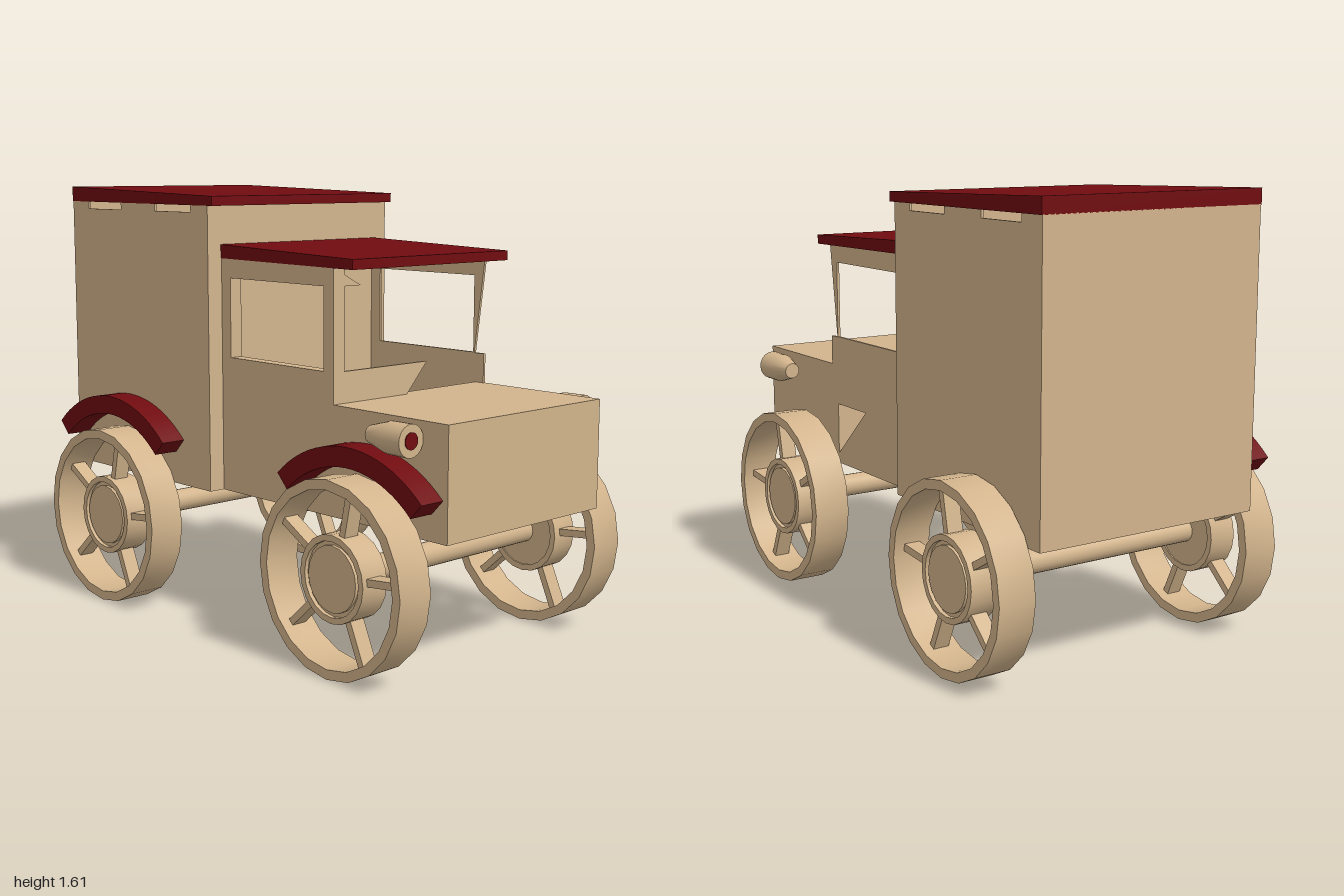
import * as THREE from 'three';
import { toCreasedNormals } from 'three/addons/utils/BufferGeometryUtils.js';

export function createModel() {
  const model = new THREE.Group();
  const tan = new THREE.MeshStandardMaterial({ color: 0xd2b48c });
  tan.name = 'tan';
  const red = new THREE.MeshStandardMaterial({ color: 0x700c10 });
  red.name = 'darkRed';

  function add(name, geo, mat, parent = model) {
    const m = new THREE.Mesh(geo, mat);
    m.name = name;
    parent.add(m);
    return m;
  }
  const polygon = pts => new THREE.Shape(pts.map(p => new THREE.Vector2(...p)));
  const rect = (a, b, c, d) => polygon([[a, c], [b, c], [b, d], [a, d]]);

  // Extrudes a (z, y) outline across the car, from x1 down to x0
  function sideSlab(shape, x0, x1) {
    const geo = new THREE.ExtrudeGeometry(shape, { depth: x1 - x0, bevelEnabled: false, curveSegments: 10 });
    geo.rotateY(-Math.PI / 2).translate(x1, 0, 0);
    return toCreasedNormals(geo, 0.6);
  }
  function box(name, x0, x1, y0, y1, z0, z1, mat = tan) {
    const geo = new THREE.BoxGeometry(x1 - x0, y1 - y0, z1 - z0);
    return add(name, geo.translate((x0 + x1) / 2, (y0 + y1) / 2, (z0 + z1) / 2), mat);
  }
  // Sheet facing the front, from an (x, y) outline
  function frontSheet(name, pts, z) {
    const geo = new THREE.ExtrudeGeometry(polygon(pts), { depth: 0.01, bevelEnabled: false });
    add(name, geo.translate(0, 0, z - 0.01), tan);
  }

  const W = 0.387;

  // Hood
  box('hood', -W, W, 0.5, 0.89, 0.43, 1.0);

  // Cab walls with window openings; the left one also has a gap under the door panel
  const cabOutline = [[-0.13, 0.5], [0.47, 0.5], [0.47, 1.36], [-0.13, 1.36]];
  const rightWall = polygon(cabOutline);
  rightWall.holes.push(rect(-0.08, 0.42, 1.0, 1.29));
  add('cabRightWall', sideSlab(rightWall, -W, -W + 0.05), tan);

  const leftWall = polygon([[-0.13, 0.5], [0.47, 0.5], [0.47, 1.0], [0.423, 1.0], [0.47, 1.36], [-0.13, 1.36]]);
  leftWall.holes.push(rect(-0.08, 0.418, 1.002, 1.29));
  leftWall.holes.push(polygon([[0.425, 0.735], [0.21, 0.735], [0.425, 0.54]]));
  add('cabLeftWall', sideSlab(leftWall, W - 0.01, W), tan);

  // Cab floor and the remaining windscreen pieces
  box('cabFloor', -W, W, 0.5, 0.51, -0.13, 0.43);
  frontSheet('dashPanel', [[-W, 0.5], [0.07, 1.0], [-W, 1.0]], 0.47);
  frontSheet('windscreenCorner', [[-W, 1.29], [-0.26, 1.29], [-W, 1.355]], 0.47);

  // Cargo body: hollow, with two vent notches along the top of each side
  const H = 1.555, N = 1.525;
  const cargoSide = polygon([
    [-1, 0.5], [-0.13, 0.5], [-0.13, H], [-0.23, H], [-0.23, N], [-0.45, N], [-0.45, H],
    [-0.67, H], [-0.67, N], [-0.89, N], [-0.89, H], [-1, H],
  ]);
  add('cargoLeftWall', sideSlab(cargoSide, 0.44, 0.45), tan);
  add('cargoRightWall', sideSlab(cargoSide, -0.45, -0.44), tan);
  box('cargoFrontWall', -0.45, 0.45, 0.5, H, -0.14, -0.13);
  box('cargoBackWall', -0.45, 0.45, 0.5, H, -1, -0.99);
  box('cargoFloor', -0.45, 0.45, 0.5, 0.51, -1, -0.13);

  // Roofs, rising gently toward the back
  add('cargoRoof', sideSlab(polygon([[-1, 1.553], [-0.1, 1.55], [-0.1, 1.585], [-1, 1.61]]), -0.453, 0.453), red);
  add('cabRoof', sideSlab(polygon([[-0.13, 1.36], [0.565, 1.352], [0.565, 1.387], [-0.13, 1.41]]), -0.39, 0.39), red);

  // Headlights
  const lampProfile = [[0, 0], [0.03, 0], [0.055, 0.09], [0.056, 0.18], [0, 0.18]].map(p => new THREE.Vector2(...p));
  for (const s of [-1, 1]) {
    const lamp = new THREE.Group();
    lamp.name = s > 0 ? 'leftHeadlight' : 'rightHeadlight';
    lamp.position.set(s * 0.442, 0.83, 0.71);
    add('lampShell', toCreasedNormals(new THREE.LatheGeometry(lampProfile, 20).rotateX(Math.PI / 2), 0.6), tan, lamp);
    add('lampLens', new THREE.CylinderGeometry(0.029, 0.029, 0.004, 20).rotateX(Math.PI / 2).translate(0, 0, 0.181), red, lamp);
    model.add(lamp);
  }

  // Wheels: rim, hub with a recessed cap, five spokes
  function ring(rOut, rIn) {
    const s = new THREE.Shape();
    s.absarc(0, 0, rOut, 0, Math.PI * 2, false);
    const hole = new THREE.Path();
    hole.absarc(0, 0, rIn, 0, Math.PI * 2, true);
    s.holes.push(hole);
    return s;
  }
  function wheel(name, side, xIn, z) {
    const g = new THREE.Group();
    g.name = name;
    add('rim', sideSlab(ring(0.34, 0.305), 0, 0.14), tan, g);
    add('hubRing', sideSlab(ring(0.152, 0.13), 0.01, 0.12), tan, g);
    add('hubDrum', new THREE.CylinderGeometry(0.131, 0.131, 0.09, 20).rotateZ(Math.PI / 2).translate(0.06, 0, 0), tan, g);
    add('hubCap', new THREE.CylinderGeometry(0.115, 0.115, 0.02, 20).rotateZ(Math.PI / 2).translate(0.107, 0, 0), tan, g);
    for (let i = 0; i < 5; i++) {
      const spoke = add('spoke', new THREE.BoxGeometry(0.06, 0.17, 0.026).translate(0, 0.228, 0), tan, g);
      spoke.position.x = 0.07;
      spoke.rotation.x = THREE.MathUtils.degToRad(12 + 72 * i);
    }
    g.position.set(side * xIn, 0.342, z);
    g.scale.x = side;
    model.add(g);
  }
  const axles = [['front', 0.425, 0.628], ['rear', 0.453, -0.645]];
  for (const [end, xIn, z] of axles) {
    wheel(end + 'LeftWheel', 1, xIn, z);
    wheel(end + 'RightWheel', -1, xIn, z);
    add(end + 'Axle', new THREE.CylinderGeometry(0.044, 0.044, 2 * xIn + 0.06, 20).rotateZ(Math.PI / 2).translate(0, 0.345, z), tan);
  }

  // Curved fenders, on the right side only
  function fender(name, x0, x1, y, z) {
    const a = 0.76, s = new THREE.Shape();
    s.absarc(z, y, 0.5, Math.PI / 2 - a, Math.PI / 2 + a, false);
    s.absarc(z, y, 0.43, Math.PI / 2 + a, Math.PI / 2 - a, true);
    s.closePath();
    add(name, sideSlab(s, x0, x1), red);
  }
  fender('frontFender', -0.485, -0.387, 0.28, 0.635);
  fender('rearFender', -0.548, -0.45, 0.31, -0.635);

  return model;
}
